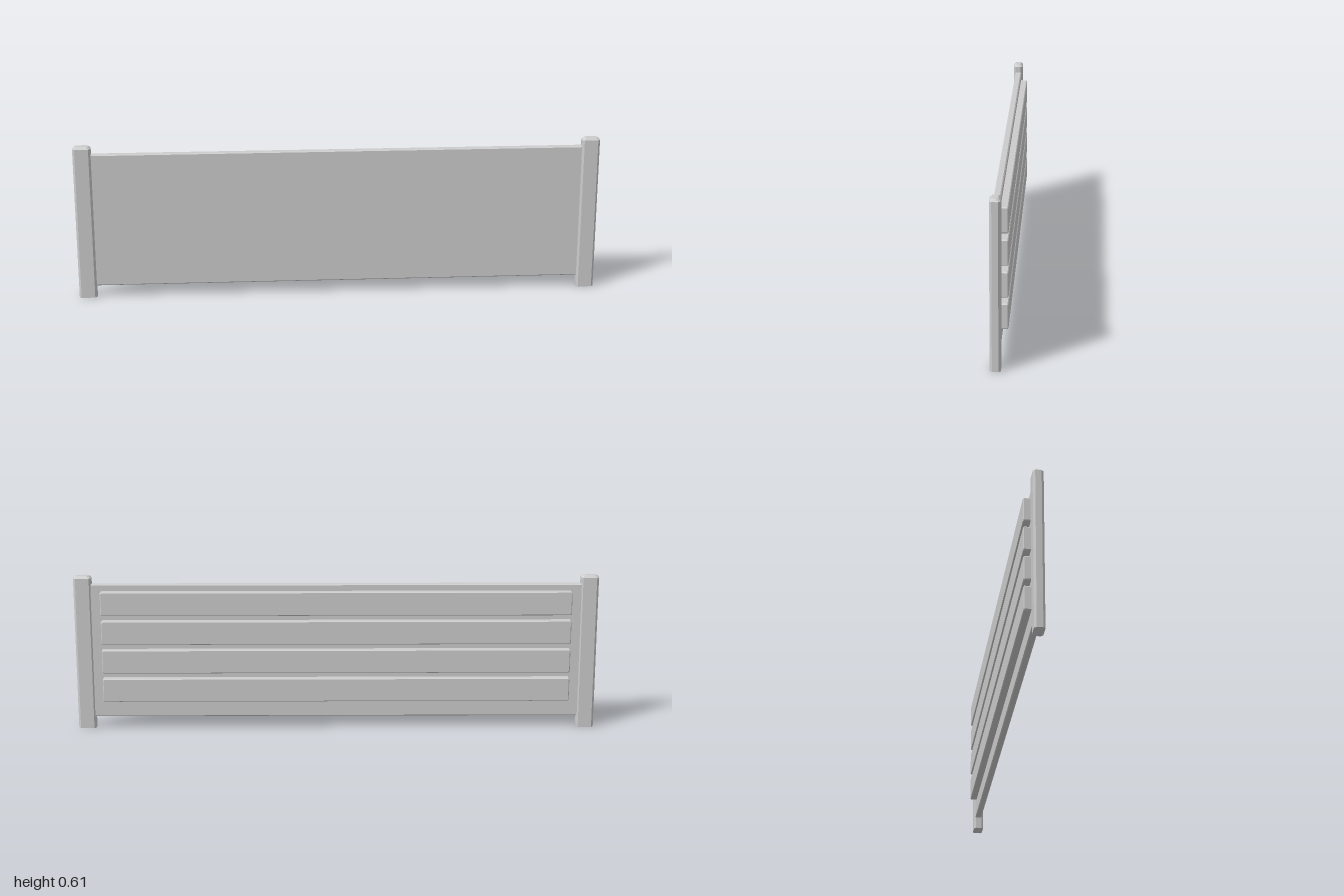
import * as THREE from 'three';

const material = new THREE.MeshStandardMaterial({ color: 0xcccccc, flatShading: true });

// Block with cut corners, lofted along +z through levels of [z, inset]
function chamferedBlock(w, h, cut, levels) {
  const ring = ([z, inset]) => {
    const x = w / 2 - inset, y = h / 2 - inset;
    return [[x, -y + cut], [x, y - cut], [x - cut, y], [-x + cut, y],
      [-x, y - cut], [-x, -y + cut], [-x + cut, -y], [x - cut, -y]].map(([a, b]) => [a, b, z]);
  };
  const rings = levels.map(ring);
  const pos = [];
  const tri = (a, b, c) => pos.push(...a, ...b, ...c);
  for (let k = 0; k < rings.length - 1; k++) {
    for (let i = 0; i < 8; i++) {
      const j = (i + 1) % 8, lo = rings[k], hi = rings[k + 1];
      tri(lo[i], lo[j], hi[j]);
      tri(lo[i], hi[j], hi[i]);
    }
  }
  // End caps
  const first = rings[0], last = rings[rings.length - 1];
  for (let i = 1; i < 7; i++) {
    tri(first[0], first[i + 1], first[i]);
    tri(last[0], last[i], last[i + 1]);
  }
  const geo = new THREE.BufferGeometry();
  geo.setAttribute('position', new THREE.Float32BufferAttribute(pos, 3));
  geo.computeVertexNormals();
  return geo;
}

export function createModel() {
  const group = new THREE.Group();
  const add = (name, geo, x, y, z) => {
    const mesh = new THREE.Mesh(geo, material);
    mesh.name = name;
    mesh.position.set(x, y, z);
    group.add(mesh);
  };

  // Main board with softened long edges
  const panel = chamferedBlock(0.025, 0.526, 0.004, [[-0.935, 0], [0.935, 0]]);
  panel.rotateY(Math.PI / 2);
  add('panel', panel, 0, 0.309, 0.0095);

  // End posts with chamfered tops and flat feet
  const post = chamferedBlock(0.068, 0.038, 0.008, [[0, 0], [0.596, 0], [0.605, 0.008]]);
  post.rotateX(-Math.PI / 2);
  for (const [side, name] of [[1, 'leftPost'], [-1, 'rightPost']]) {
    add(name, post, side * 0.966, 0, 0.011);
  }

  // Four raised slats across the back
  const slat = chamferedBlock(1.796, 0.092, 0.004, [[0, 0], [0.026, 0], [0.029, 0.003]]);
  slat.rotateY(Math.PI);
  for (let i = 0; i < 4; i++) add(`backSlat${i + 1}`, slat, 0, 0.159 + i * 0.1138, 0);

  return group;
}
